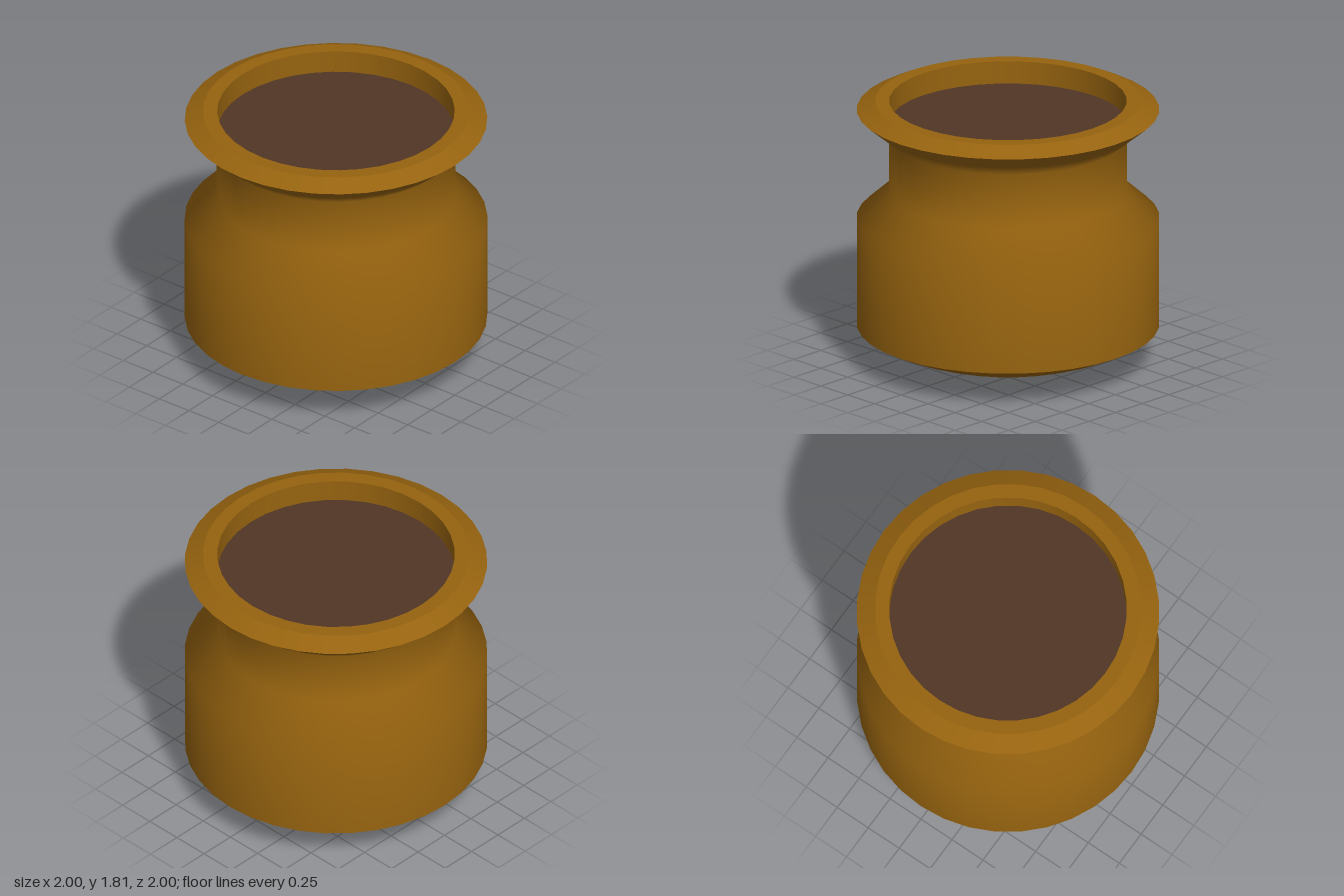
import * as THREE from 'three';

const SEGMENTS = 36;

export function createModel() {
  const clay = new THREE.MeshStandardMaterial({ color: 0x96630f });
  clay.name = 'ochre clay';
  const filling = new THREE.MeshStandardMaterial({ color: 0x523626 });
  filling.name = 'dark brown filling';

  const pot = new THREE.Group();
  pot.name = 'pot';

  // Turned part from a list of [radius, height]; smooth within one profile
  const turn = (name, profile) => {
    const points = profile.map(([r, y]) => new THREE.Vector2(r, y));
    const mesh = new THREE.Mesh(new THREE.LatheGeometry(points, SEGMENTS), clay);
    mesh.name = name;
    pot.add(mesh);
  };

  // Rounded base: a shallow spherical cap
  const R = 2.125;
  const capAngle = Math.asin(1 / R);
  const cap = [];
  for (let i = 0; i <= 10; i++) {
    const a = (capAngle * i) / 10;
    cap.push([R * Math.sin(a), R * (1 - Math.cos(a))]);
  }
  turn('base', cap);

  // Belly, shoulder and neck
  turn('body', [[1, 0.25], [1, 1], [0.79, 1.19], [0.79, 1.57], [0.88, 1.65]]);

  // Rim, one piece per face so its edges stay sharp
  turn('rimUnderside', [[0.88, 1.65], [1, 1.75]]);
  turn('rimBevel', [[1, 1.75], [0.88, 1.81]]);
  turn('rimTop', [[0.88, 1.81], [0.785, 1.81]]);
  turn('rimInside', [[0.785, 1.81], [0.785, 1.65]]);

  // Contents
  const contents = new THREE.Mesh(new THREE.CircleGeometry(0.785, SEGMENTS), filling);
  contents.name = 'contents';
  contents.rotation.x = -Math.PI / 2;
  contents.position.y = 1.655;
  pot.add(contents);

  return pot;
}
